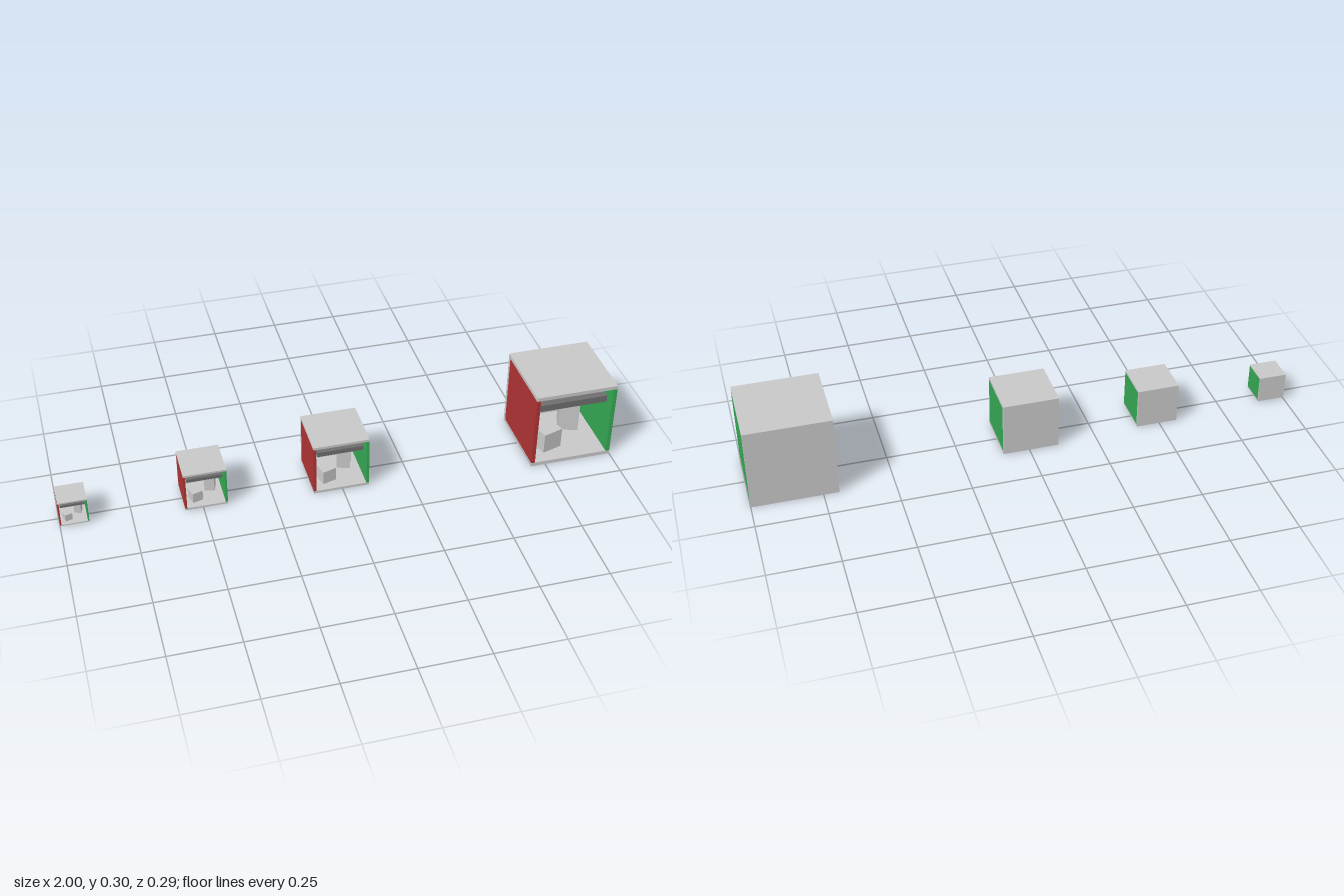
import * as THREE from 'three';

const mat = (name, color) => {
  const m = new THREE.MeshStandardMaterial({ color });
  m.name = name;
  return m;
};

export function createModel() {
  const white = mat('wall white', 0xc8c8c8);
  const red = mat('wall red', 0xb03434);
  const green = mat('wall green', 0x34a853);
  const dark = mat('panel grey', 0x6e6e6e);

  // One open-fronted room, one unit wide between wall centres, floor centred on y = 0
  function createRoom() {
    const room = new THREE.Group();
    const box = (name, material, [w, h, d], [x, y, z], turn = 0) => {
      const mesh = new THREE.Mesh(new THREE.BoxGeometry(w, h, d), material);
      mesh.name = name;
      mesh.position.set(x, y, z);
      mesh.rotation.y = turn;
      room.add(mesh);
    };
    // shell
    box('floor', white, [1.05, 0.05, 1], [0, 0, 0]);
    box('ceiling', white, [1.05, 0.05, 1], [0, 1, 0]);
    box('backWall', white, [1.05, 0.95, 0.05], [0, 0.5, -0.475]);
    box('rightWall', red, [0.05, 0.95, 0.95], [-0.5, 0.5, 0.025]);
    box('leftWall', green, [0.05, 0.95, 0.95], [0.5, 0.5, 0.025]);
    // contents
    box('shortBlock', white, [0.27, 0.27, 0.27], [-0.21, 0.16, 0.17], 0.3);
    box('tallBlock', white, [0.25, 0.565, 0.25], [0.21, 0.3075, -0.15], -0.3);
    box('hangingPanel', dark, [0.87, 0.09, 0.85], [0, 0.797, 0]);
    return room;
  }

  // Four rooms of growing size in a row: [centre x, scale]
  const model = new THREE.Group();
  model.name = 'roomRow';
  const rooms = [[-0.949, 0.0968], [-0.489, 0.1452], [-0.005, 0.1936], [0.8475, 0.2904]];
  rooms.forEach(([x, size], i) => {
    const room = createRoom();
    room.name = `room${i + 1}`;
    room.scale.setScalar(size);
    room.position.set(x, 0.0073, 0);
    model.add(room);
  });
  return model;
}
